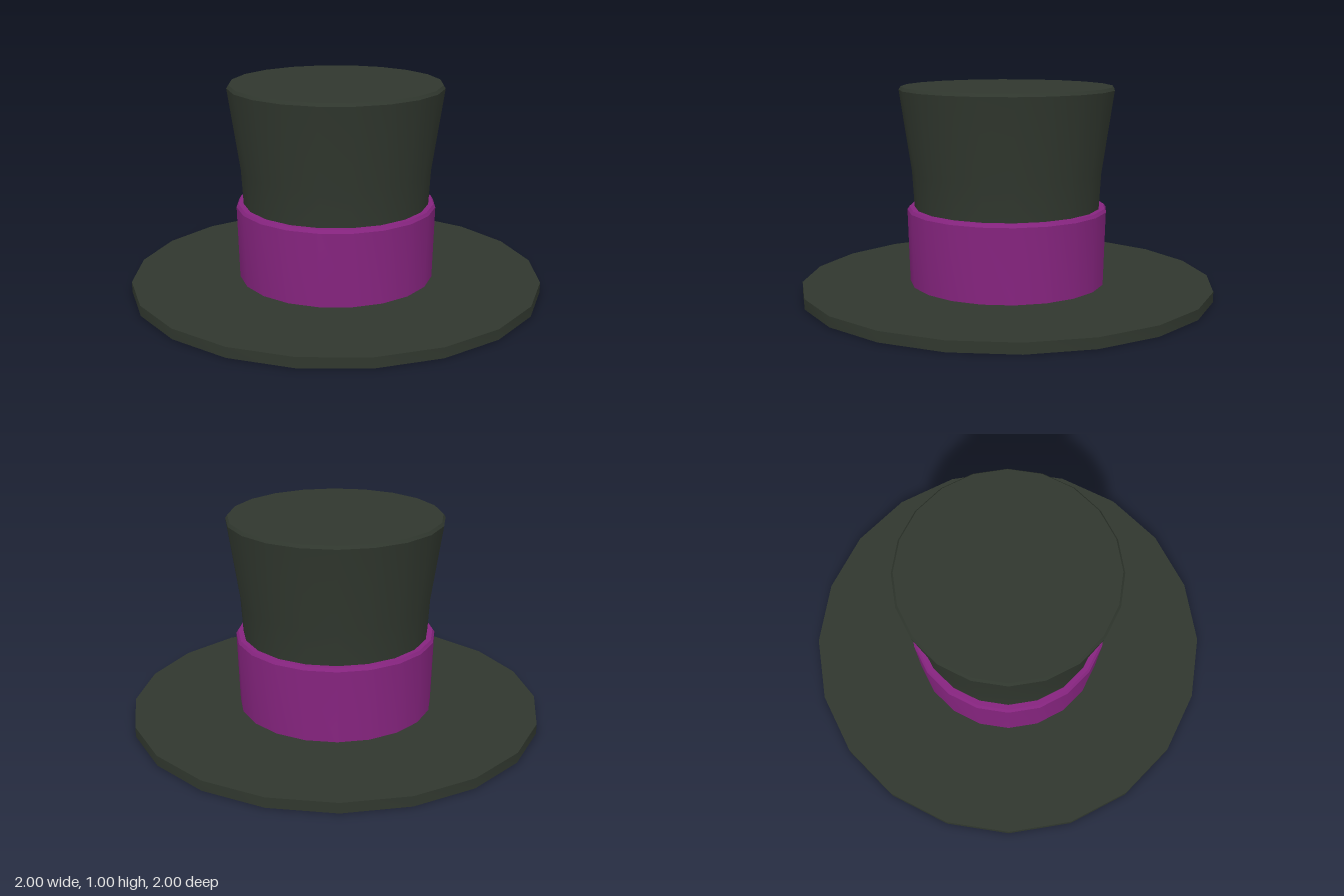
import * as THREE from 'three';
import { toCreasedNormals } from 'three/addons/utils/BufferGeometryUtils.js';

const SIDES = 20;

// Turns a [radius, height] profile, listed bottom to top, into a crisp-edged part
function turned(name, profile, material) {
  const points = profile.map(([r, y]) => new THREE.Vector2(r, y));
  const geometry = toCreasedNormals(new THREE.LatheGeometry(points, SIDES), 0.6);
  const mesh = new THREE.Mesh(geometry, material);
  mesh.name = name;
  return mesh;
}

export function createModel() {
  const felt = new THREE.MeshStandardMaterial({ color: 0x30372e });
  felt.name = 'dark felt';
  const ribbon = new THREE.MeshStandardMaterial({ color: 0x86247f });
  ribbon.name = 'purple ribbon';

  const hat = new THREE.Group();
  hat.name = 'topHat';

  // Flat disc brim
  hat.add(turned('brim', [[0, 0], [1, 0], [1, 0.05], [0, 0.05]], felt));

  // Crown flaring towards a slightly bevelled top
  hat.add(turned('crown', [
    [0.44, 0.05], [0.45, 0.42], [0.46, 0.59], [0.518, 0.985], [0.508, 1], [0, 1],
  ], felt));

  // Ribbon band with a bevelled upper edge
  hat.add(turned('band', [
    [0.475, 0.05], [0.485, 0.405], [0.475, 0.42], [0.44, 0.42],
  ], ribbon));

  return hat;
}
